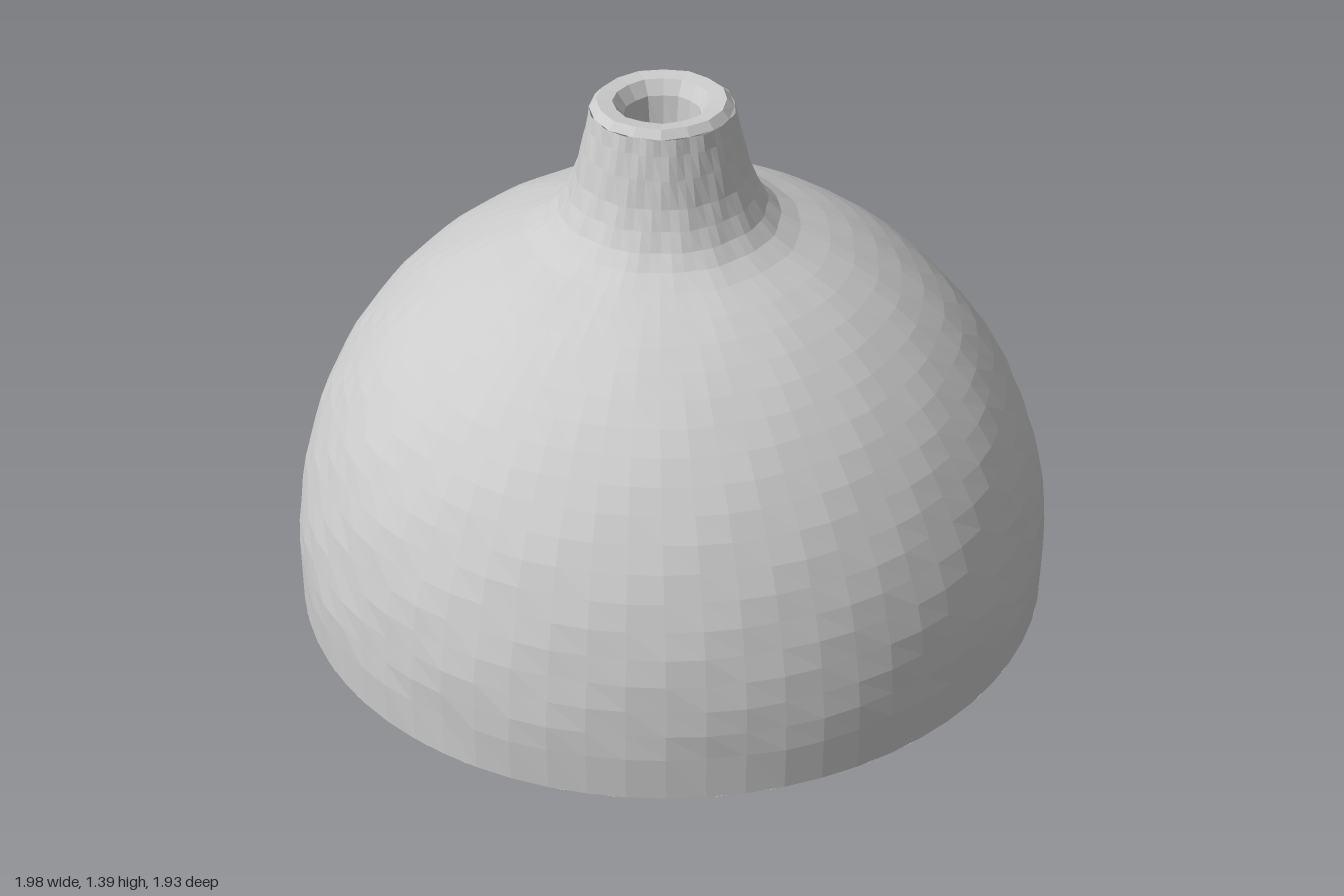
import * as THREE from 'three';

const material = new THREE.MeshStandardMaterial({
  color: 0xcccccc, flatShading: true, side: THREE.DoubleSide,
});

// Hand-shaped wobble, periodic around the axis
function wobble(angle, y) {
  return 0.002 * (Math.sin(9 * angle + 13 * y) + Math.sin(17 * angle - 29 * y));
}

// Turned surface, slightly oval and leaning towards -x near the top
function turned(name, profile, segments, reshapeY) {
  const points = profile.map(([r, y]) => new THREE.Vector2(r, y));
  const geometry = new THREE.LatheGeometry(points, segments);
  const p = geometry.attributes.position;
  for (let i = 0; i < p.count; i++) {
    const x = p.getX(i), z = p.getZ(i);
    const angle = Math.atan2(x, z);
    const y = reshapeY ? reshapeY(p.getY(i), angle) : p.getY(i);
    const r = Math.hypot(x, z) + (y > 0.02 ? wobble(angle, y) : 0);
    const lean = -0.006 - 0.026 * THREE.MathUtils.smoothstep(y, 0.3, 1.1);
    p.setXYZ(i, r * Math.sin(angle) + lean, y, 0.975 * r * Math.cos(angle));
  }
  geometry.computeVertexNormals();
  const mesh = new THREE.Mesh(geometry, material);
  mesh.name = name;
  return mesh;
}

// Points along a quarter ellipse, from angle a0 to a1
function ellipse(rx, ry, y0, a0, a1, steps) {
  return Array.from({ length: steps + 1 }, (_, i) => {
    const a = THREE.MathUtils.lerp(a0, a1, i / steps);
    return [rx * Math.cos(a), y0 + ry * Math.sin(a)];
  });
}

export function createModel() {
  const group = new THREE.Group();
  group.name = 'bellDome';

  // Round dome flowing into the flared neck
  group.add(turned('domeAndNeck', [
    [0.988, 0],
    ...ellipse(0.99, 0.98, 0.12, 0, Math.acos(0.42 / 0.99), 16),
    [0.345, 1.04], [0.295, 1.07], [0.262, 1.105], [0.237, 1.15], [0.217, 1.2],
    [0.2, 1.27], [0.186, 1.33], [0.178, 1.37],
  ], 64));

  // Rounded lip and the bore through the neck
  group.add(turned('neckLip', [
    [0.178, 1.37], [0.16, 1.39], [0.12, 1.385], [0.095, 1.35],
  ], 16));
  group.add(turned('bore', [
    [0.095, 1.35], [0.085, 1.25], [0.085, 1.05], [0.09, 0.8],
  ], 16));

  // Hollow inside, with coarser facets
  const top = Math.acos(0.09 / 0.74);
  group.add(turned('cavity', ellipse(0.74, 0.8 / Math.sin(top), 0, top, 0, 8), 28));

  // Ring-shaped channel in the base, between thin outer and inner walls
  group.add(turned('baseChannel', [
    [0.74, 0], [0.75, 0], [0.755, 0.15], [0.83, 0.165], [0.91, 0.145],
    [0.96, 0.06], [0.98, 0], [0.988, 0],
  ], 48, (y, angle) => y * (1 + 0.2 * Math.sin(2 * angle) + 0.08 * Math.sin(11 * angle))));

  return group;
}
